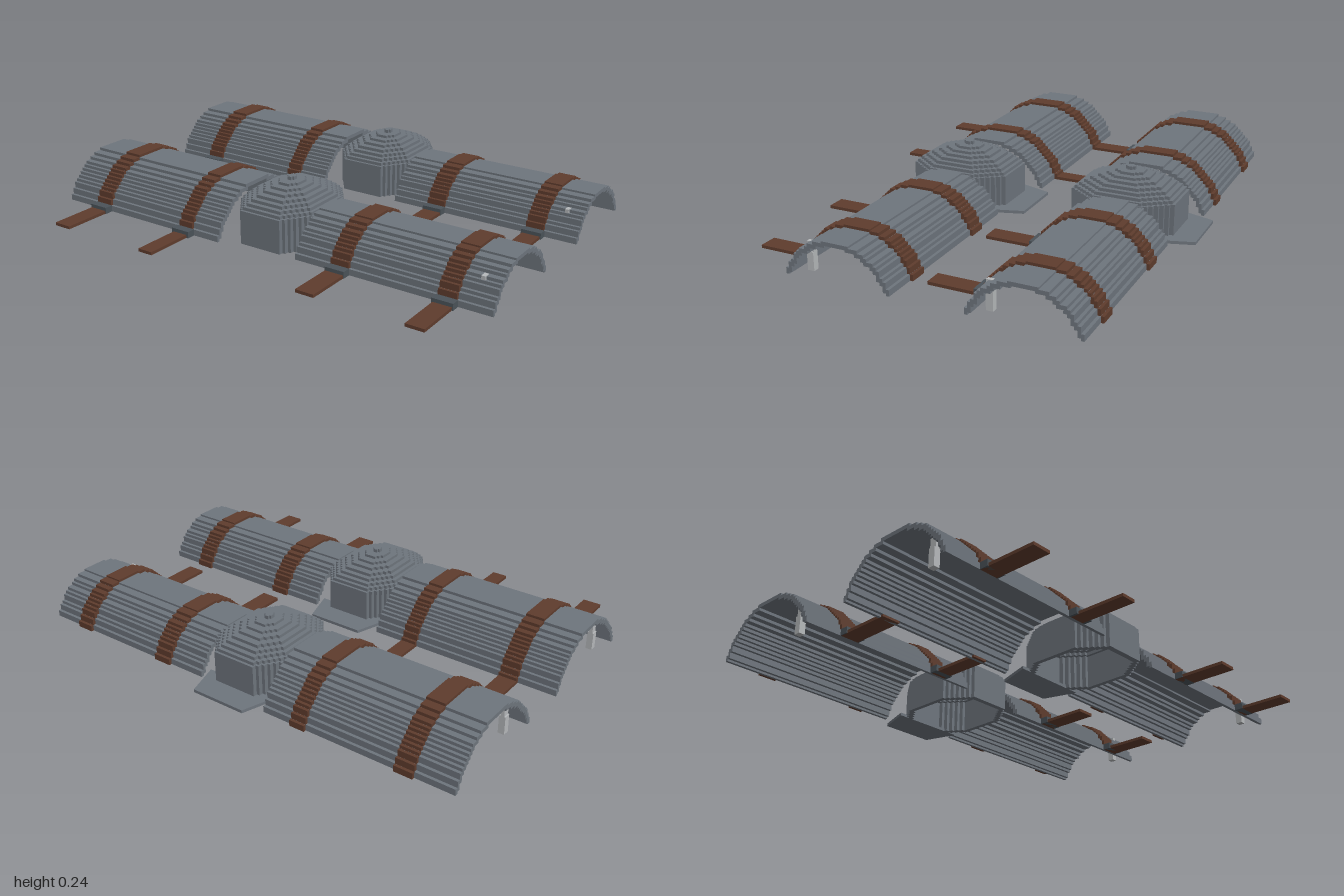
import * as THREE from 'three';

const steel = new THREE.MeshStandardMaterial({ color: 0x6e757d, side: THREE.DoubleSide });
const leather = new THREE.MeshStandardMaterial({ color: 0x5f3c2d });
const darkIron = new THREE.MeshStandardMaterial({ color: 0x4b5359 });
const paleMetal = new THREE.MeshStandardMaterial({ color: 0xb6b9bb });
for (const [m, n] of [[steel, 'steel'], [leather, 'leather'], [darkIron, 'dark iron'], [paleMetal, 'pale metal']]) m.name = n;

const V = 0.0125; // size of one block step

function add(parent, name, geometry, material) {
  const mesh = new THREE.Mesh(geometry, material);
  mesh.name = name;
  parent.add(mesh);
  return mesh;
}

function box(parent, name, material, x0, x1, y0, y1, z0, z1) {
  add(parent, name, new THREE.BoxGeometry(x1 - x0, y1 - y0, z1 - z0), material)
    .position.set((x0 + x1) / 2, (y0 + y1) / 2, (z0 + z1) / 2);
}

// Stepped hollow arch running along x, centred on z = 0
function archGeometry(x0, x1, halfWidth, height, thickness) {
  const n = Math.round((2 * halfWidth) / V);
  const w = (2 * halfWidth) / n;
  const R = (halfWidth ** 2 + height ** 2) / (2 * height);
  const top = (i) => {
    if (i < 0 || i >= n) return 0;
    const d = (i + 0.5) * w - halfWidth;
    const y = Math.sqrt(R * R - d * d) - R + height;
    return Math.min(height, Math.max(V, Math.ceil(y / V) * V));
  };
  const upper = [], lower = [];
  for (let i = 0; i < n; i++) {
    const a = i * w - halfWidth, b = a + w;
    const outerNeighbour = Math.min(top(i), a + b < 0 ? top(i - 1) : top(i + 1));
    const bottom = Math.max(0, outerNeighbour - thickness);
    upper.push(new THREE.Vector2(a, top(i)), new THREE.Vector2(b, top(i)));
    lower.push(new THREE.Vector2(a, bottom), new THREE.Vector2(b, bottom));
  }
  const points = [...upper, ...lower.reverse()].filter((p, i, all) => !i || !p.equals(all[i - 1]));
  const g = new THREE.ExtrudeGeometry(new THREE.Shape(points), { depth: x1 - x0, bevelEnabled: false });
  g.rotateY(Math.PI / 2);
  g.translate(x0, 0, 0);
  return g;
}

// Octagon outline with stair-stepped diagonal sides
function steppedOctagon(s) {
  const X = 0.175 * s, Z = 0.217 * s, fx = 0.095 * s, fz = 0.11 * s;
  const n = Math.max(1, Math.round(6 * s));
  const corner = [];
  for (let i = 0; i <= n; i++) {
    const x = X + ((fx - X) * i) / n;
    const z = fz + ((Z - fz) * i) / n;
    corner.push([x, z]);
    if (i < n) corner.push([x + (fx - X) / n, z]);
  }
  const back = [...corner].reverse();
  return [
    ...corner, ...back.map(([x, z]) => [-x, z]),
    ...corner.map(([x, z]) => [-x, -z]), ...back.map(([x, z]) => [x, -z]),
  ].map(([x, z]) => new THREE.Vector2(x, z));
}

function flatGeometry(shape, y0, y1) {
  const g = new THREE.ExtrudeGeometry(shape, { depth: y1 - y0, bevelEnabled: false });
  g.rotateX(-Math.PI / 2);
  g.translate(0, y0, 0);
  return g;
}

// Hollow terraced dome with a flat tongue at the back
function makeDome() {
  const dome = new THREE.Group();
  dome.name = 'jointCap';
  const layers = [[1, 0, 0.14], [0.95, 0.14, 0.153], [0.88, 0.153, 0.166], [0.79, 0.166, 0.179],
    [0.69, 0.179, 0.192], [0.56, 0.192, 0.204], [0.42, 0.204, 0.215], [0.27, 0.215, 0.226], [0.09, 0.226, 0.24]];
  layers.forEach(([s, y0, y1], i) => {
    const shape = new THREE.Shape(steppedOctagon(s));
    if (i < layers.length - 1) {
      const inner = Math.max(0.04, layers[i + 1][0] - 0.06);
      shape.holes.push(new THREE.Path(steppedOctagon(inner).reverse()));
    }
    add(dome, 'domeLayer', flatGeometry(shape, y0, y1), steel);
  });
  const tongue = new THREE.Shape([[-0.165, 0.17], [0.165, 0.17], [0.145, 0.235], [0.12, 0.315], [-0.12, 0.315], [-0.145, 0.235]]
    .map(([x, y]) => new THREE.Vector2(x, y)));
  add(dome, 'backTongue', flatGeometry(tongue, 0, V), steel);
  return dome;
}

// Arched plate with straps, buckles, loose strap ends and an end peg
function makePlate({ name, x0, x1, half, height, straps, tail, pegX }) {
  const plate = new THREE.Group();
  plate.name = name;
  add(plate, 'archedShell', archGeometry(x0, x1, half, height, 0.016), steel);
  for (const [x, w] of straps) {
    const a = x - w / 2, b = x + w / 2;
    add(plate, 'strap', archGeometry(a, b, half + 0.012, height + 0.011, 0.014), leather);
    box(plate, 'strapEnd', leather, a, b, 0, V, half, tail);
    box(plate, 'buckle', darkIron, x - 0.043, x + 0.043, 0, 0.027, half, half + 0.036);
  }
  box(plate, 'peg', paleMetal, pegX - 0.008, pegX + 0.008, 0, 0.115, 0.138, 0.166);
  box(plate, 'pegFoot', paleMetal, pegX - 0.013, pegX + 0.013, 0, 0.075, 0.138, 0.166);
  return plate;
}

function makeGuard() {
  const guard = new THREE.Group();
  guard.name = 'limbGuard';
  guard.add(makePlate({
    name: 'widePlate', x0: -1, x1: -0.178, half: 0.26, height: 0.187,
    straps: [[-0.8, 0.078], [-0.343, 0.066]], tail: 0.498, pegX: -0.95,
  }));
  guard.add(makePlate({
    name: 'narrowPlate', x0: 0.17, x1: 1, half: 0.219, height: 0.158,
    straps: [[0.372, 0.08], [0.822, 0.076]], tail: 0.444, pegX: 0.93,
  }));
  guard.add(makeDome());
  return guard;
}

export function createModel() {
  const model = new THREE.Group();
  model.name = 'limbGuardPair';
  for (const z of [0.272, -0.462]) {
    const guard = makeGuard();
    guard.position.z = z;
    model.add(guard);
  }
  return model;
}
